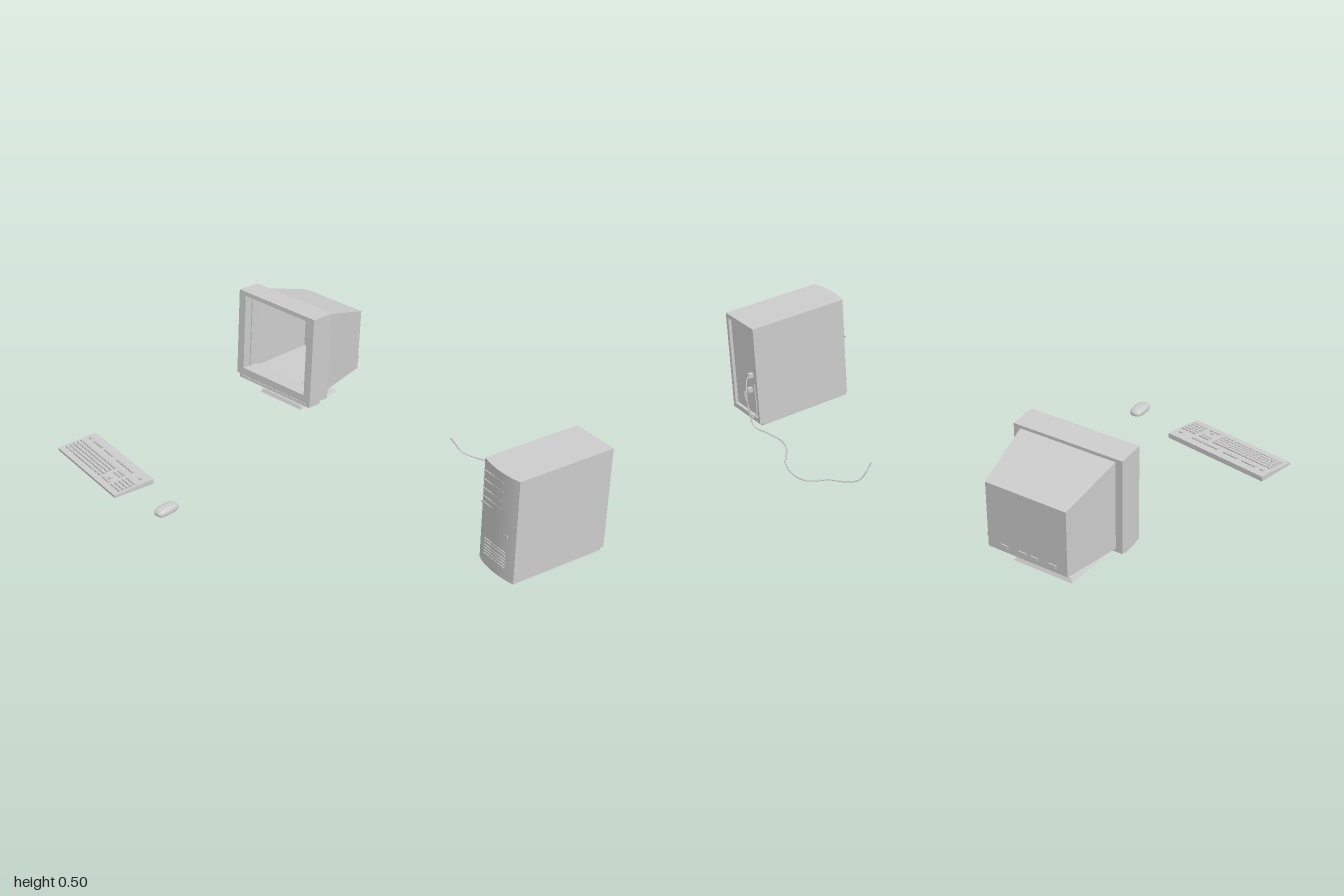
import * as THREE from 'three';
import { mergeGeometries } from 'three/addons/utils/BufferGeometryUtils.js';

const grey = new THREE.MeshStandardMaterial({ color: 0xcccccc, flatShading: true, side: THREE.DoubleSide });
const smooth = new THREE.MeshStandardMaterial({ color: 0xcccccc });

function add(parent, name, geo, x = 0, y = 0, z = 0, mat = grey) {
  const m = new THREE.Mesh(geo, mat);
  m.name = name;
  m.position.set(x, y, z);
  parent.add(m);
  return m;
}
const box = (w, h, d) => new THREE.BoxGeometry(w, h, d);
const boxAt = (w, h, d, x, y, z) => box(w, h, d).translate(x, y, z);

// Box whose front and back are different rectangles; keeps only the listed
// faces (0 +x, 1 -x, 2 top, 3 bottom, 4 front, 5 back)
function taper(front, back, faces) {
  const g = box(2, 2, 2), p = g.attributes.position;
  for (let i = 0; i < p.count; i++) {
    const e = p.getZ(i) > 0 ? front : back;
    p.setXYZ(i, p.getX(i) * e.w, p.getY(i) > 0 ? e.top : e.bottom, e.z);
  }
  const idx = Array.from(g.index.array);
  g.setIndex(faces.flatMap(f => idx.slice(f * 6, f * 6 + 6)));
  g.clearGroups();
  g.computeVertexNormals();
  return g;
}

// Rectangular frame standing in the xy plane
function frame(w, h, depth, x0, y0, x1, y1) {
  const s = new THREE.Shape();
  s.moveTo(-w / 2, 0).lineTo(w / 2, 0).lineTo(w / 2, h).lineTo(-w / 2, h).closePath();
  const hole = new THREE.Path();
  hole.moveTo(x0, y0).lineTo(x0, y1).lineTo(x1, y1).lineTo(x1, y0).closePath();
  s.holes.push(hole);
  return new THREE.ExtrudeGeometry(s, { depth, bevelEnabled: false });
}

function cable(parent, name, pts, r, n = 80) {
  const curve = new THREE.CatmullRomCurve3(pts.map(p => new THREE.Vector3(...p)));
  add(parent, name, new THREE.TubeGeometry(curve, n, r, 6), 0, 0, 0, smooth);
}

function monitor() {
  const g = new THREE.Group();
  g.name = 'monitor';
  g.position.set(-0.755, 0, -0.23);
  g.rotation.y = 0.174;

  // Tilted head
  const head = new THREE.Group();
  head.name = 'monitorHead';
  head.position.y = 0.065;
  head.rotation.x = -0.08;
  g.add(head);
  add(head, 'bezel', frame(0.47, 0.415, 0.085, -0.195, 0.035, 0.195, 0.395), 0, 0.02, -0.085);
  add(head, 'screenRim', frame(0.41, 0.38, 0.01, -0.19, 0.012, 0.19, 0.368), 0, 0.04, -0.05);
  add(head, 'bezelChin', box(0.45, 0.022, 0.07), 0, 0.01, -0.042);
  add(head, 'bezelBack', frame(0.47, 0.415, 0.03, -0.203, 0.02, 0.203, 0.4), 0, 0.02, -0.115);
  const teeth = [];
  for (let i = 0; i < 26; i++) teeth.push(boxAt(0.008, 0.012, 0.006, -0.2 + i * 0.016, 0.01, -0.005));
  add(head, 'chinGrille', mergeGeometries(teeth));

  // Hollow tapering shell, open to the front
  add(head, 'casing', taper({ w: 0.206, bottom: 0.035, top: 0.422, z: -0.112 },
    { w: 0.173, bottom: 0.07, top: 0.357, z: -0.386 }, [0, 1, 2, 3, 5]));
  add(head, 'casingSeam', taper({ w: 0.209, bottom: 0.092, top: 0.098, z: -0.112 },
    { w: 0.176, bottom: 0.122, top: 0.128, z: -0.389 }, [0, 1, 2, 3, 5].filter(f => f !== 2 && f !== 3)));
  const ports = [];
  for (const x of [-0.11, -0.03, 0.02, 0.1]) ports.push(boxAt(0.032, 0.014, 0.006, x, 0.096, -0.387));
  add(head, 'rearSockets', mergeGeometries(ports));

  // Stand
  add(g, 'standNeck', new THREE.CylinderGeometry(0.055, 0.055, 0.075, 20), 0, 0.055, -0.17);
  add(g, 'standCollar', new THREE.CylinderGeometry(0.09, 0.07, 0.02, 20), 0, 0.085, -0.17);
  const foot = box(0.26, 0.016, 0.24), p = foot.attributes.position;
  for (let i = 0; i < p.count; i++) if (p.getY(i) > 0) p.setXYZ(i, p.getX(i) * 0.93, p.getY(i), p.getZ(i) * 0.93);
  foot.computeVertexNormals();
  add(g, 'standFoot', foot, 0, 0.008, -0.17);
  return g;
}

function tower() {
  const g = new THREE.Group();
  g.name = 'computerTower';
  g.position.set(0.878, 0, -0.378);
  g.rotation.y = -0.075;

  // Plan outline with a bowed front, extruded upwards
  const plan = (w, back, side, bow) => {
    const s = new THREE.Shape();
    s.moveTo(-w, -back).lineTo(-w, -side).quadraticCurveTo(0, -bow, w, -side).lineTo(w, -back).closePath();
    return s;
  };
  const upright = (s, h) => new THREE.ExtrudeGeometry(s, { depth: h, bevelEnabled: false, curveSegments: 10 }).rotateX(-Math.PI / 2);
  add(g, 'towerCase', upright(plan(0.106, -0.218, 0.222, 0.252), 0.453), 0, 0.012, 0);
  add(g, 'towerBase', upright(plan(0.103, -0.218, 0.219, 0.246), 0.013));
  add(g, 'rearFrame', frame(0.212, 0.453, 0.014, -0.09, 0.022, 0.09, 0.432), 0, 0.012, -0.232);

  // Drive bay ledges, lower vents, buttons
  const surf = x => 0.222 + 0.015 * (1 - (x / 0.106) ** 2);
  const strip = (x0, x1, y, h) => {
    const x = (x0 + x1) / 2;
    return boxAt(x1 - x0, h, 0.004, x, y, surf(x));
  };
  const bays = [0.425, 0.385, 0.345, 0.31].map(y => strip(-0.09, 0.03, y, 0.002));
  bays.push(strip(-0.098, 0.01, 0.28, 0.006));
  add(g, 'driveBays', mergeGeometries(bays));
  const vents = [strip(-0.065, 0.065, 0.115, 0.007), strip(-0.065, 0.065, 0.13, 0.002)];
  for (let i = 0; i < 4; i++) vents.push(strip(-0.065, 0.065, 0.1 - i * 0.013, 0.002));
  add(g, 'frontVents', mergeGeometries(vents));
  add(g, 'powerButton', boxAt(0.014, 0.014, 0.005, 0.06, 0.2, surf(0.06)));

  // Plugs at the rear
  add(g, 'rearPlugs', mergeGeometries([
    boxAt(0.016, 0.02, 0.022, -0.05, 0.225, -0.228),
    boxAt(0.016, 0.02, 0.022, -0.035, 0.15, -0.228)]));
  return g;
}

function keyboard() {
  const g = new THREE.Group();
  g.name = 'keyboard';
  g.position.set(-0.737, 0, 0.667);

  // Wedge-shaped case, extruded across its width
  const s = new THREE.Shape();
  s.moveTo(-0.095, 0).lineTo(0.095, 0).lineTo(0.095, 0.022).lineTo(0.06, 0.022).lineTo(-0.095, 0.011).closePath();
  add(g, 'keyboardCase', new THREE.ExtrudeGeometry(s, { depth: 0.492, bevelEnabled: false })
    .rotateY(Math.PI / 2).translate(-0.246, 0, 0));

  // Rows of keys, on top of the sloping deck
  const keys = [];
  const key = (x, z, w = 0.014, d = 0.013) => {
    const deck = z < -0.06 ? 0.022 : 0.022 - (z + 0.06) * 0.071;
    keys.push(boxAt(w, 0.009, d, x, deck + 0.002, z));
  };
  const run = (x0, n, z, step = 0.0185) => { for (let i = 0; i < n; i++) key(x0 + i * step, z); };
  key(-0.213, -0.053);
  run(-0.173, 4, -0.053);
  run(-0.08, 4, -0.053);
  run(0.024, 4, -0.053);
  run(0.105, 3, -0.053);
  key(0.212, -0.053);
  for (let r = 0; r < 5; r++) {
    const z = -0.014 + r * 0.0185, shift = [0, 0.006, 0.01, 0.004, 0][r];
    if (r < 4) {
      key(-0.221 + shift / 2, z, 0.014 + shift);
      run(-0.2 + shift, 14, z);
      key(0.06 + shift / 2, z, 0.022 - shift);
    } else {
      for (const x of [-0.217, -0.185, 0.03, 0.058]) key(x, z, 0.022);
      key(-0.078, z, 0.17);
    }
    if (r < 2) run(0.1, 3, z);
    if (r === 3) key(0.1185, z);
    if (r === 4) run(0.1, 3, z);
    run(0.172, 4, z);
  }
  add(g, 'keys', mergeGeometries(keys));
  return g;
}

function mouse() {
  const g = new THREE.Group();
  g.name = 'mouse';
  g.position.set(-0.265, 0.004, 0.647);
  g.rotation.y = 0.2;
  // Domed body: sphere squared off in plan and flattened below
  const geo = new THREE.SphereGeometry(1, 32, 20), p = geo.attributes.position;
  const sq = (v, e) => Math.sign(v) * Math.abs(v) ** e;
  for (let i = 0; i < p.count; i++) {
    const y = p.getY(i);
    p.setXYZ(i, sq(p.getX(i), 0.65) * 0.03, 0.012 + (y > 0 ? sq(y, 0.85) * 0.021 : sq(y, 0.5) * 0.012), sq(p.getZ(i), 0.7) * 0.056);
  }
  geo.computeVertexNormals();
  add(g, 'mouseBody', geo, 0, 0, 0, smooth);
  return g;
}

export function createModel() {
  const model = new THREE.Group();
  model.name = 'desktopComputer';
  model.add(monitor(), tower(), keyboard(), mouse());

  // Cable drooping from the tower, trailing along the floor, end raised
  cable(model, 'floorCable', [
    [0.845, 0.225, -0.61], [0.835, 0.22, -0.635], [0.825, 0.15, -0.65], [0.815, 0.05, -0.648], [0.79, 0.01, -0.645],
    [0.72, 0.008, -0.637], [0.62, 0.008, -0.633], [0.55, 0.008, -0.66], [0.45, 0.008, -0.74], [0.35, 0.008, -0.766],
    [0.29, 0.008, -0.752], [0.235, 0.008, -0.685], [0.165, 0.012, -0.645], [0.125, 0.028, -0.618],
    [0.107, 0.06, -0.6], [0.102, 0.1, -0.572]], 0.003, 140);
  cable(model, 'plugCable', [
    [0.86, 0.15, -0.61], [0.85, 0.155, -0.64], [0.83, 0.1, -0.645], [0.815, 0.04, -0.632], [0.805, 0.06, -0.622],
    [0.81, 0.2, -0.618]], 0.003, 60);
  return model;
}
